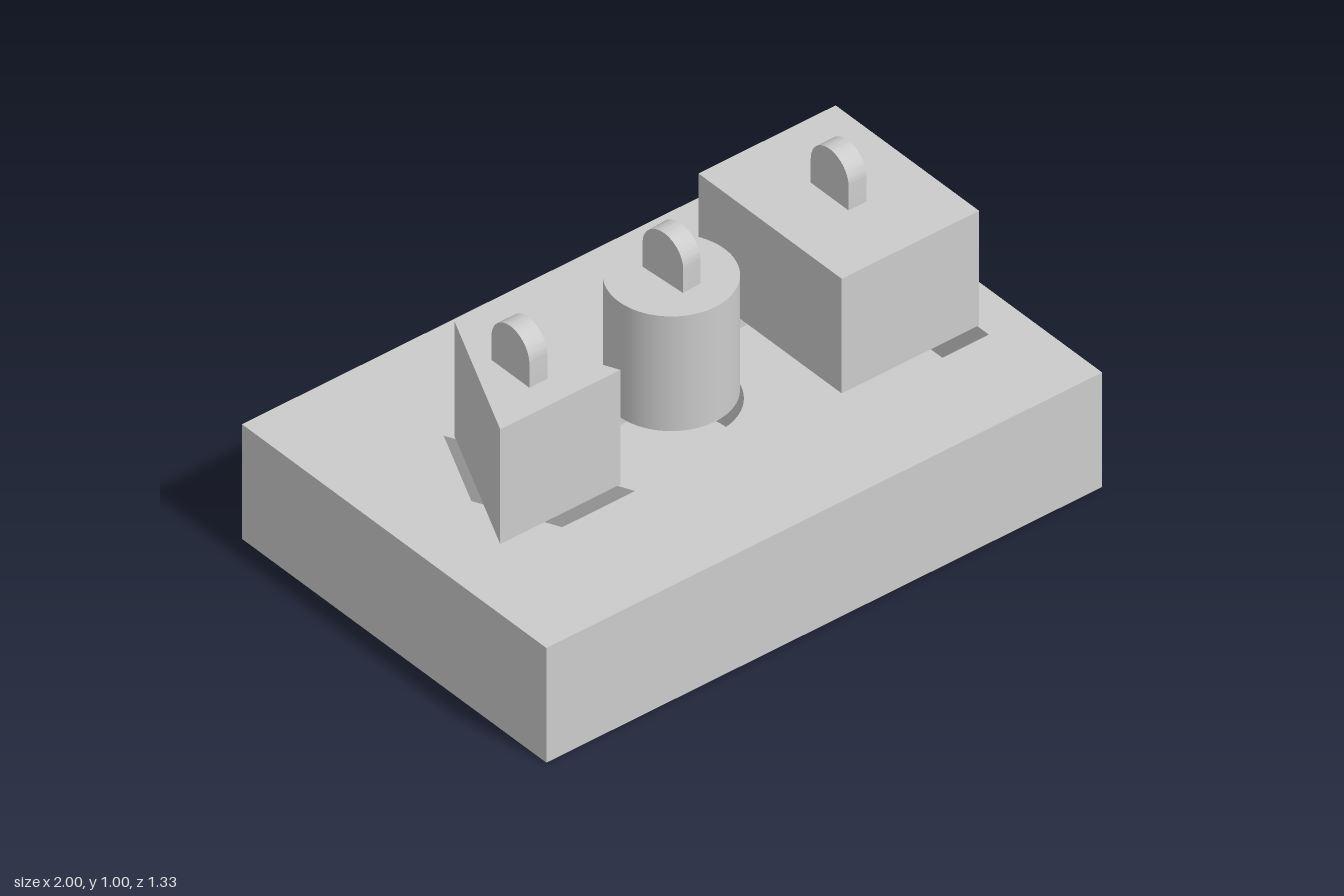
import * as THREE from 'three';
import { toCreasedNormals } from 'three/addons/utils/BufferGeometryUtils.js';

const material = new THREE.MeshStandardMaterial({ color: 0xcccccc });

function part(name, geometry, x = 0, y = 0, z = 0) {
  const mesh = new THREE.Mesh(geometry, material);
  mesh.name = name;
  mesh.position.set(x, y, z);
  return mesh;
}

// Outline given as [x, z] corners, in plan
function polygon(corners) {
  return new THREE.Shape(corners.map(([x, z]) => new THREE.Vector2(x, -z)));
}

function circle(radius) {
  return new THREE.Shape().absarc(0, 0, radius, 0, Math.PI * 2);
}

// Extrude a plan outline upwards from y = 0
function prism(shape, height) {
  const geometry = new THREE.ExtrudeGeometry(shape, { depth: height, bevelEnabled: false, curveSegments: 32 });
  return toCreasedNormals(geometry.rotateX(-Math.PI / 2), 0.6);
}

// Arched handle standing on y = 0, its thin side along x
function handleGeometry() {
  const r = 0.083, straight = 0.083, thickness = 0.065;
  const shape = new THREE.Shape();
  shape.moveTo(-r, 0);
  shape.lineTo(r, 0);
  shape.lineTo(r, straight);
  shape.absarc(0, straight, r, 0, Math.PI);
  shape.closePath();
  const geometry = new THREE.ExtrudeGeometry(shape, { depth: thickness, bevelEnabled: false, curveSegments: 24 });
  geometry.translate(0, 0, -thickness / 2).rotateY(Math.PI / 2);
  return toCreasedNormals(geometry, 0.6);
}

export function createModel() {
  const model = new THREE.Group();
  model.name = 'shapeSorter';

  // Board: solid lower half, upper half with three pockets
  const pocketFloor = 0.2, boardTop = 0.4, hx = 1, hz = 0.667;
  const plate = polygon([[-hx, hz], [hx, hz], [hx, -hz], [-hx, -hz]]);
  plate.holes.push(
    polygon([[-0.85, 0.265], [-0.35, 0.265], [-0.6, -0.27]]),
    circle(0.2),
    polygon([[0.333, 0.333], [0.867, 0.333], [0.867, -0.333], [0.333, -0.333]])
  );
  const board = new THREE.Group();
  board.name = 'board';
  board.add(
    part('boardBottom', new THREE.BoxGeometry(2 * hx, pocketFloor, 2 * hz), 0, pocketFloor / 2, 0),
    part('boardTopWithPockets', prism(plate, boardTop - pocketFloor), 0, pocketFloor, 0)
  );
  model.add(board);

  // Loose pieces hovering above their pockets, each with a handle
  const height = 0.4;
  const pieces = [
    {
      name: 'triangle', x: -0.6, y: 0.426, handleZ: 0.062, turn: 0,
      geometry: prism(polygon([[-0.217, 0.242], [0.215, 0.242], [0, -0.222]]), height)
    },
    {
      name: 'cylinder', x: -0.002, y: 0.431, handleZ: 0, turn: 0.06,
      geometry: new THREE.CylinderGeometry(0.191, 0.191, height, 64).translate(0, height / 2, 0)
    },
    {
      name: 'rectangle', x: 0.6, y: 0.431, handleZ: 0, turn: 0,
      geometry: new THREE.BoxGeometry(0.494, height, 0.628).translate(0, height / 2, 0)
    }
  ];
  for (const { name, x, y, handleZ, turn, geometry } of pieces) {
    const piece = new THREE.Group();
    piece.name = name + 'Piece';
    piece.position.set(x, y, 0);
    piece.rotation.y = turn;
    piece.add(part(name + 'Block', geometry), part(name + 'Handle', handleGeometry(), 0, height, handleZ));
    model.add(piece);
  }
  return model;
}
